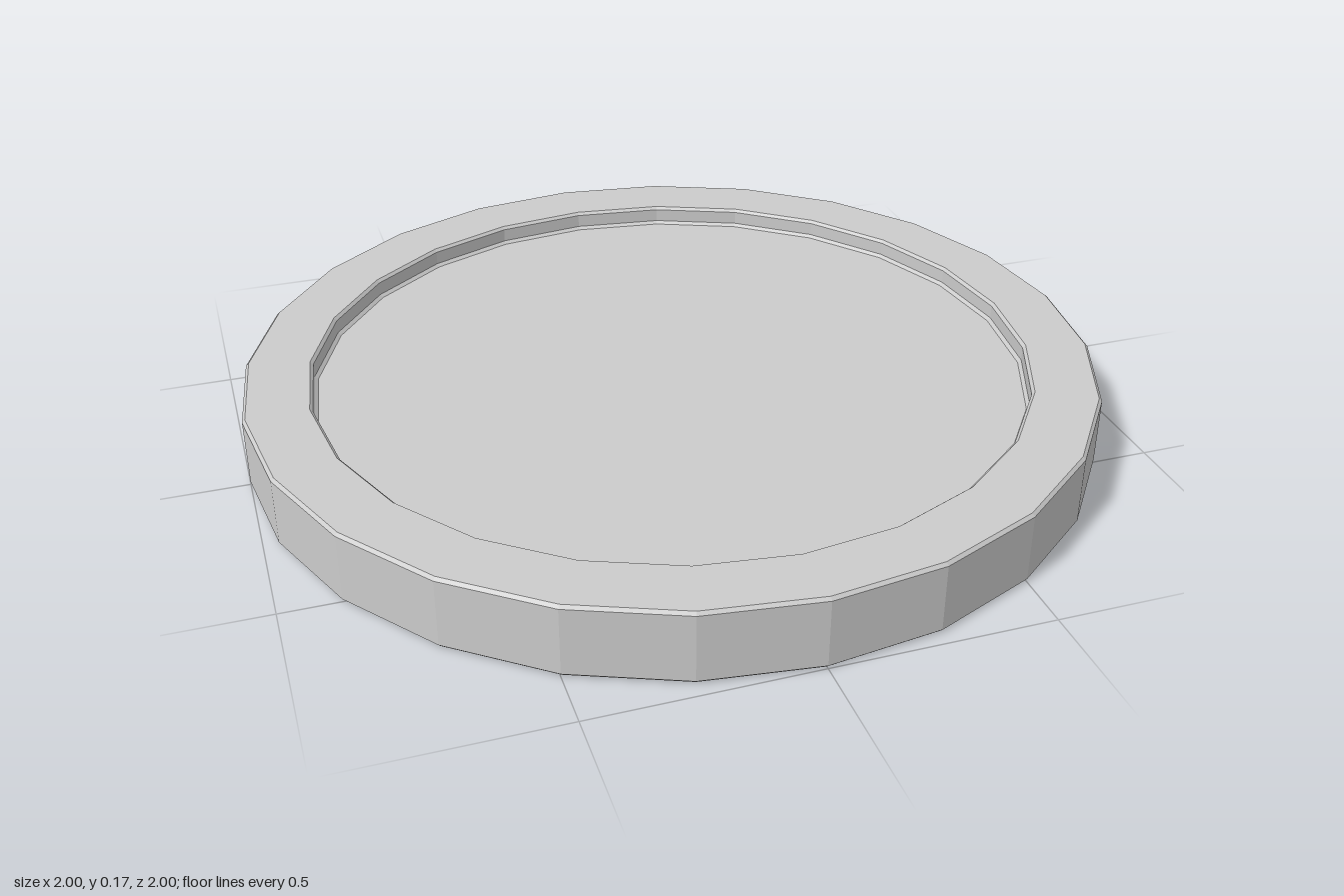
import * as THREE from 'three';

const SIDES = 24;
const HEIGHT = 0.17;
const BEVEL = 0.007;
const FLOOR_TOP = 0.123;
const FLOOR_BOTTOM = 0.03;

export function createModel() {
  const group = new THREE.Group();
  group.name = 'recessedDisc';
  const material = new THREE.MeshStandardMaterial({ color: 0xcccccc, flatShading: true });

  // Raised rim: inner underside, outer wall, then down into the top recess
  const profile = [
    [0.855, FLOOR_BOTTOM],
    [0.863, FLOOR_BOTTOM - BEVEL],
    [0.863, BEVEL],
    [0.87, 0],
    [1 - BEVEL, 0],
    [1, BEVEL],
    [1, HEIGHT - BEVEL],
    [1 - BEVEL, HEIGHT],
    [0.85, HEIGHT],
    [0.843, HEIGHT - BEVEL],
    [0.843, FLOOR_TOP + BEVEL],
    [0.835, FLOOR_TOP],
  ].map(([r, y]) => new THREE.Vector2(r, y));
  const rim = new THREE.Mesh(new THREE.LatheGeometry(profile, SIDES), material);
  rim.name = 'rim';
  group.add(rim);

  // Sunken panel closing the rim on both faces
  const panel = new THREE.Mesh(
    new THREE.CylinderGeometry(0.835, 0.855, FLOOR_TOP - FLOOR_BOTTOM, SIDES),
    material
  );
  panel.name = 'panel';
  panel.position.y = (FLOOR_TOP + FLOOR_BOTTOM) / 2;
  group.add(panel);

  return group;
}
